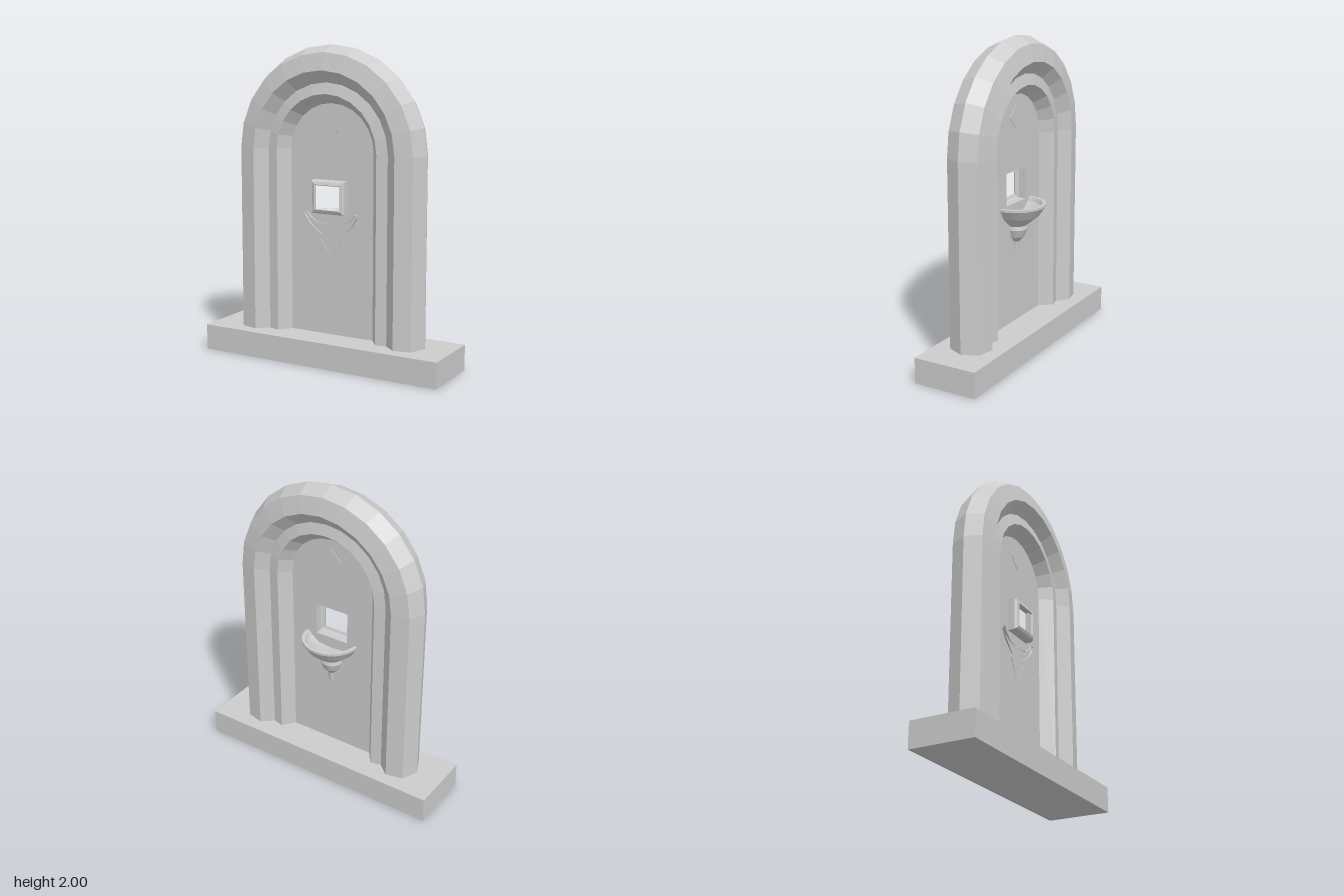
import * as THREE from 'three';

const SPRING = 1.345; // height where the arch starts to curve
const BASE_TOP = 0.165;

function material() {
  return new THREE.MeshStandardMaterial({ color: 0xcccccc, flatShading: true, side: THREE.DoubleSide });
}

// Surface through rows of points, all rows the same length
function loft(rows) {
  const n = rows[0].length;
  const index = [];
  for (let i = 0; i < rows.length - 1; i++) {
    for (let j = 0; j < n - 1; j++) {
      const a = i * n + j, b = a + 1, c = a + n, d = c + 1;
      index.push(a, c, b, b, c, d);
    }
  }
  const geometry = new THREE.BufferGeometry();
  geometry.setAttribute('position', new THREE.Float32BufferAttribute(rows.flat(2), 3));
  geometry.setIndex(index);
  geometry.computeVertexNormals();
  return geometry;
}

// Points of a round-headed outline, from the right foot over the top to the left foot
function archPath(r, segments = 12) {
  const points = [[r, BASE_TOP]];
  for (let i = 0; i <= segments; i++) {
    const a = (Math.PI * i) / segments;
    points.push([r * Math.cos(a), SPRING + r * Math.sin(a)]);
  }
  points.push([-r, BASE_TOP]);
  return points;
}

export function createModel() {
  const group = new THREE.Group();
  const add = (name, geometry) => {
    const mesh = new THREE.Mesh(geometry, material());
    mesh.name = name;
    group.add(mesh);
    return mesh;
  };

  // Plinth
  add('base', new THREE.BoxGeometry(1.66, BASE_TOP, 0.42)).position.y = BASE_TOP / 2;

  // Stepped arch moulding, the same on front and back: [radius, z]
  const front = [[0.295, 0], [0.355, 0.08], [0.425, 0.065], [0.5, 0.128], [0.61, 0.103], [0.655, 0]];
  const back = front.slice(0, -1).reverse().map(([r, z]) => [r, -z]);
  add('archFrame', loft([...front, ...back].map(([r, z]) => archPath(r).map(([x, y]) => [x, y, z]))));

  // Thin wall panel with the window opening
  const panel = new THREE.Shape(archPath(0.297).map(([x, y]) => new THREE.Vector2(x, y)));
  const W = 0.115, H = 0.105, WY = 1.055;
  panel.holes.push(new THREE.Path([[-W, -H], [-W, H], [W, H], [W, -H]]
    .map(([x, y]) => new THREE.Vector2(x, WY + y))));
  add('panel', new THREE.ShapeGeometry(panel));

  // Window moulding, tapering forward from the opening: [inset, z]
  const steps = [[0, 0], [0, 0.045], [0.008, 0.058], [0.026, 0.066], [0.031, 0.055]];
  add('windowFrame', loft(steps.map(([inset, z]) =>
    [[1, 1], [-1, 1], [-1, -1], [1, -1], [1, 1]].map(([sx, sy]) =>
      [sx * (W - inset), WY + sy * (H - inset), z]))));

  // Small diamond tile, showing on both faces
  const tile = add('diamondTile', new THREE.BoxGeometry(0.107, 0.107, 0.006));
  tile.rotation.z = Math.PI / 4;
  tile.position.y = 1.5;

  // Half-round basin with bracket on the back; its ends just pass through the panel
  const profile = [
    [0, 0.64], [0.016, 0.64], [0.024, 0.7], [0.055, 0.735], [0.075, 0.785], [0.07, 0.81],
    [0.09, 0.825], [0.15, 0.875], [0.19, 0.935], [0.19, 0.95], [0.168, 0.95], [0.155, 0.925],
    [0.1, 0.885], [0, 0.875],
  ].map(([r, y]) => new THREE.Vector2(r, y));
  add('basin', new THREE.LatheGeometry(profile, 14, Math.PI / 2 - 0.08, Math.PI + 0.16));

  return group;
}
